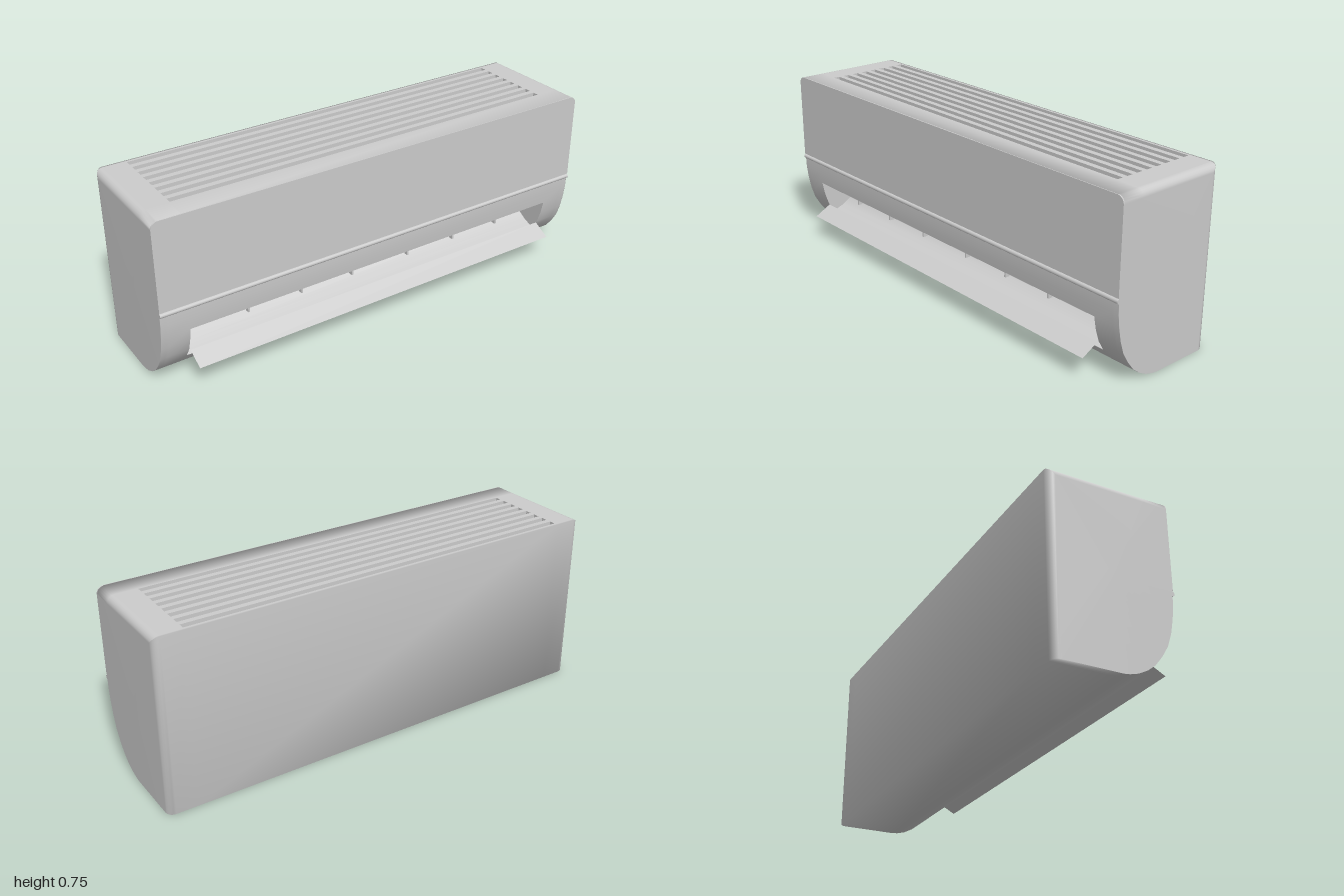
import * as THREE from 'three';

const casing = new THREE.MeshStandardMaterial({ color: 0xcccccc, side: THREE.DoubleSide });
casing.name = 'casing grey';
const dark = new THREE.MeshStandardMaterial({ color: 0x0c0c0c });
dark.name = 'slot black';

const HALF = 1, TOP = 0.75, BACK = -0.27, VENT = 0.88, R = 0.03;

// Cross-section of the casing as [z, y], from the top, down the front, back up
const PROFILE = [
  [0.13, TOP], [0.228, TOP], [0.228, 0.37], [0.226, 0.31], [0.219, 0.255], [0.208, 0.2],
  [0.19, 0.145], [0.163, 0.1], [0.132, 0.06], [0.1, 0.034], [0.06, 0.013], [0.025, 0.003],
  [0, 0], [BACK, 0], [BACK, TOP], [-0.262, TOP],
];
const VENT_FROM = 4, VENT_TO = 7;

function makeGeometry(positions, index) {
  const g = new THREE.BufferGeometry();
  g.setAttribute('position', new THREE.Float32BufferAttribute(positions, 3));
  g.setIndex(index);
  g.computeVertexNormals();
  return g;
}

// Casing lofted along x; top and back edges round off at both ends
function casingGeometry() {
  const right = [[VENT, 0]];
  for (let i = 0; i <= 5; i++) {
    const t = (i / 5) * Math.PI / 2;
    right.push([HALF - R + R * Math.sin(t), R * (1 - Math.cos(t))]);
  }
  const sections = [...right.map(([x, d]) => [-x, d]).reverse(), ...right];
  const n = PROFILE.length, pos = [], idx = [];
  for (const [x, d] of sections)
    for (const [z, y] of PROFILE) pos.push(x, Math.min(y, TOP - d), Math.max(z, BACK + d));
  for (let j = 0; j < sections.length - 1; j++) {
    const mid = Math.abs(sections[j][0] + sections[j + 1][0]) / 2;
    for (let i = 0; i < n; i++) {
      // leave room for the air outlet and the top grille
      if (mid < 0.1 && i >= VENT_FROM && i < VENT_TO) continue;
      if (mid < HALF - R && i === n - 1) continue;
      const k = (i + 1) % n;
      const a = j * n + i, b = j * n + k, c = a + n, d = b + n;
      idx.push(a, b, c, b, d, c);
    }
  }
  // end caps
  for (const side of [-1, 1]) {
    const centre = pos.length / 3, base = side > 0 ? (sections.length - 1) * n : 0;
    pos.push(side * HALF, 0.37, -0.02);
    for (let i = 0; i < n; i++) {
      const a = base + i, b = base + (i + 1) % n;
      idx.push(centre, side > 0 ? a : b, side > 0 ? b : a);
    }
  }
  return makeGeometry(pos, idx);
}

// Thin sheet following [z, y] points between two x positions
function sheetGeometry(points, x0, x1) {
  const pos = [], idx = [];
  points.forEach(([z, y], i) => {
    pos.push(x0, y, z, x1, y, z);
    if (i) idx.push(2 * i - 2, 2 * i, 2 * i - 1, 2 * i, 2 * i + 1, 2 * i - 1);
  });
  return makeGeometry(pos, idx);
}

function rectangle(Type, x0, x1, y0, y1) {
  const p = new Type();
  p.moveTo(x0, y0);
  p.lineTo(x1, y0);
  p.lineTo(x1, y1);
  p.lineTo(x0, y1);
  p.closePath();
  return p;
}

export function createModel() {
  const model = new THREE.Group();
  model.name = 'airConditioner';
  const add = (name, geometry, material = casing) => {
    const mesh = new THREE.Mesh(geometry, material);
    mesh.name = name;
    model.add(mesh);
    return mesh;
  };

  add('casing', casingGeometry());

  // Top grille with eight long slots over a dark floor
  const deck = rectangle(THREE.Shape, -HALF + R, HALF - R, -0.13, 0.262);
  for (let i = 0; i < 8; i++) {
    const z = -0.24 + i * 0.0504;
    deck.holes.push(rectangle(THREE.Path, -0.875, 0.875, -z - 0.0135, -z + 0.0135));
  }
  add('topGrille', new THREE.ExtrudeGeometry(deck, { depth: 0.03, bevelEnabled: false })
    .rotateX(-Math.PI / 2).translate(0, TOP - 0.03, 0));
  add('grilleFloor', new THREE.BoxGeometry(1.8, 0.006, 0.384), dark).position.set(0, TOP - 0.034, -0.064);

  // Flat front panel with rounded top corners
  const panel = new THREE.Shape();
  panel.moveTo(-HALF, 0.375);
  panel.lineTo(HALF, 0.375);
  panel.lineTo(HALF, TOP - R);
  panel.absarc(HALF - R, TOP - R, R, 0, Math.PI / 2, false);
  panel.absarc(-HALF + R, TOP - R, R, Math.PI / 2, Math.PI, false);
  panel.closePath();
  add('frontPanel', new THREE.ExtrudeGeometry(panel, { depth: 0.005, bevelEnabled: false, curveSegments: 6 })
    .translate(0, 0, 0.226));

  // Trim rod under the panel
  add('trimRod', new THREE.CylinderGeometry(0.01, 0.01, 2 * HALF, 10).rotateZ(Math.PI / 2))
    .position.set(0, 0.362, 0.227);

  // Air outlet: curved duct closed by two end walls
  const duct = [[0.219, 0.255], [0.12, 0.252], [0.06, 0.235], [0.035, 0.2], [0.06, 0.15], [0.11, 0.12], [0.163, 0.1]];
  add('outletDuct', sheetGeometry(duct, -VENT, VENT));
  const wall = new THREE.Shape([...duct, PROFILE[6], PROFILE[5]].map(([z, y]) => new THREE.Vector2(z, y)));
  for (const side of [-1, 1])
    add('outletEndWall', new THREE.ShapeGeometry(wall).rotateY(-Math.PI / 2)).position.x = side * VENT;

  // Swing flap reaching out of the outlet
  add('swingFlap', sheetGeometry([[0.19, 0.14], [0.265, 0.1]], -0.875, 0.875));

  // Pair of upper louvres, each with small hinge tabs
  for (const side of [-1, 1]) {
    add('louvre', sheetGeometry([[0.11, 0.217], [0.2, 0.243]], side * 0.13, side * 0.875));
    for (const x of [0.14, 0.38, 0.62])
      add('louvreTab', new THREE.BoxGeometry(0.008, 0.02, 0.02)).position.set(side * x, 0.228, 0.185);
  }
  return model;
}
